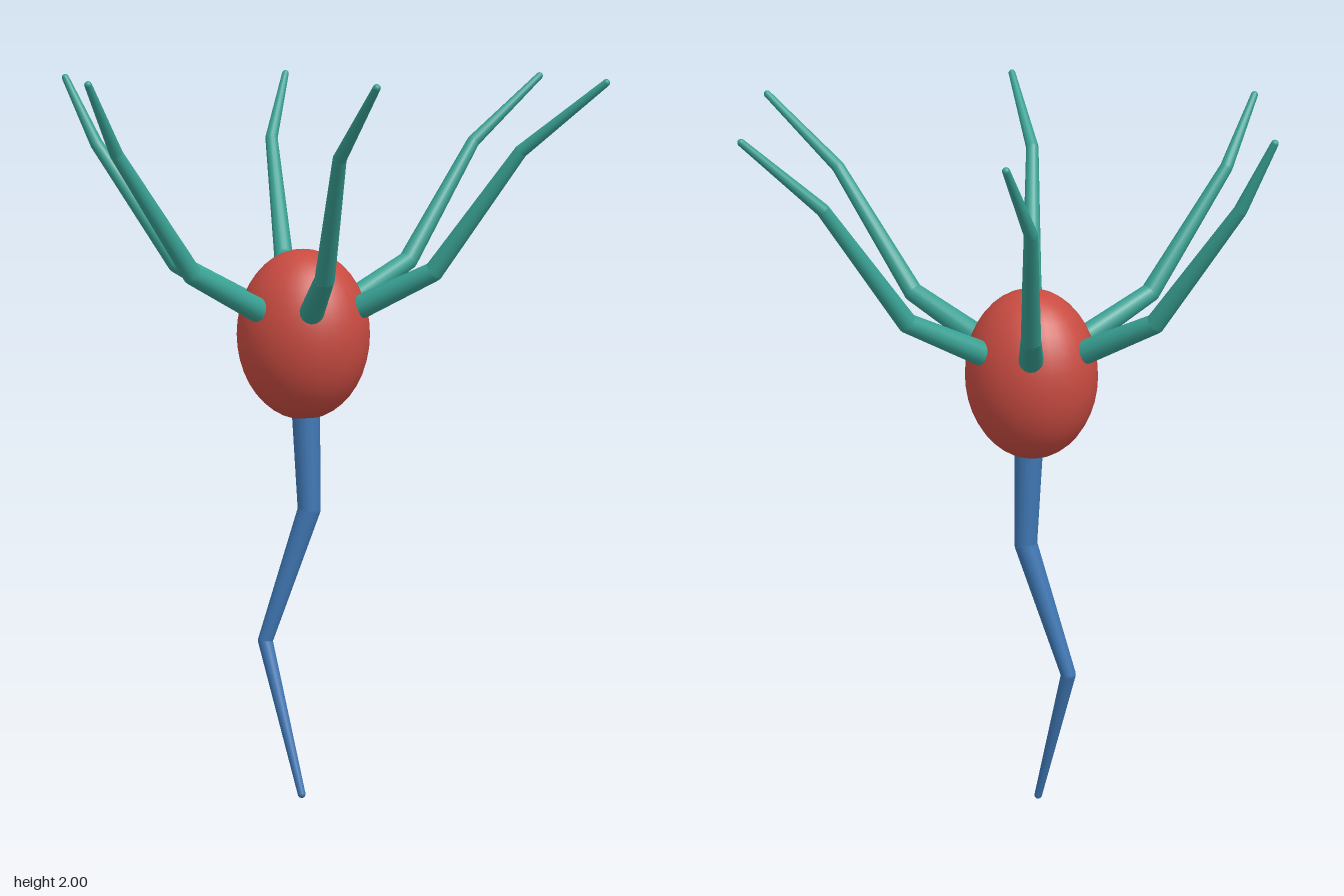
import * as THREE from 'three';

const V = (x, y, z) => new THREE.Vector3(x, y, z);
const UP = V(0, 1, 0);

// Jointed, tapering limb: one frustum per segment, a ball at every joint and tip
function limb(name, points, radii, material) {
  const group = new THREE.Group();
  group.name = name;
  for (let i = 1; i < points.length; i++) {
    const a = points[i - 1], b = points[i];
    const dir = b.clone().sub(a);
    const segment = new THREE.Mesh(
      new THREE.CylinderGeometry(radii[i], radii[i - 1], dir.length(), 16), material);
    segment.name = `${name}Segment${i}`;
    segment.position.copy(a).add(b).multiplyScalar(0.5);
    segment.quaternion.setFromUnitVectors(UP, dir.normalize());
    const joint = new THREE.Mesh(new THREE.SphereGeometry(radii[i], 16, 12), material);
    joint.name = `${name}Joint${i}`;
    joint.position.copy(b);
    group.add(segment, joint);
  }
  return group;
}

export function createModel() {
  const model = new THREE.Group();
  model.name = 'nerveCell';
  const red = new THREE.MeshStandardMaterial({ color: 0xc84b41 });
  const teal = new THREE.MeshStandardMaterial({ color: 0x38a093 });
  const blue = new THREE.MeshStandardMaterial({ color: 0x3f78b5 });

  // Egg-shaped cell body
  const centre = V(-0.07, 1.29, 0);
  const body = new THREE.Mesh(new THREE.SphereGeometry(1, 32, 20), red);
  body.name = 'cellBody';
  body.scale.set(0.187, 0.237, 0.17);
  body.position.copy(centre);
  model.add(body);

  // Six branches: bends ring the body, tips ring the model's own axis
  for (let i = 0; i < 6; i++) {
    const angle = i * Math.PI / 3;
    const at = (x0, r, y) => V(x0 + r * Math.cos(angle), y, r * Math.sin(angle));
    const path = [centre, at(centre.x, 0.38, 1.475), at(centre.x, 0.625, 1.805), at(0, 0.79, 1.99)];
    model.add(limb(`branch${i + 1}`, path, [0.039, 0.027, 0.018, 0.01], teal));
  }

  // Crooked tail hanging below the body
  model.add(limb('tail',
    [centre, V(-0.053, 0.8, 0), V(-0.172, 0.425, 0.035), V(-0.036, 0.011, 0.103)],
    [0.045, 0.032, 0.021, 0.011], blue));

  return model;
}
